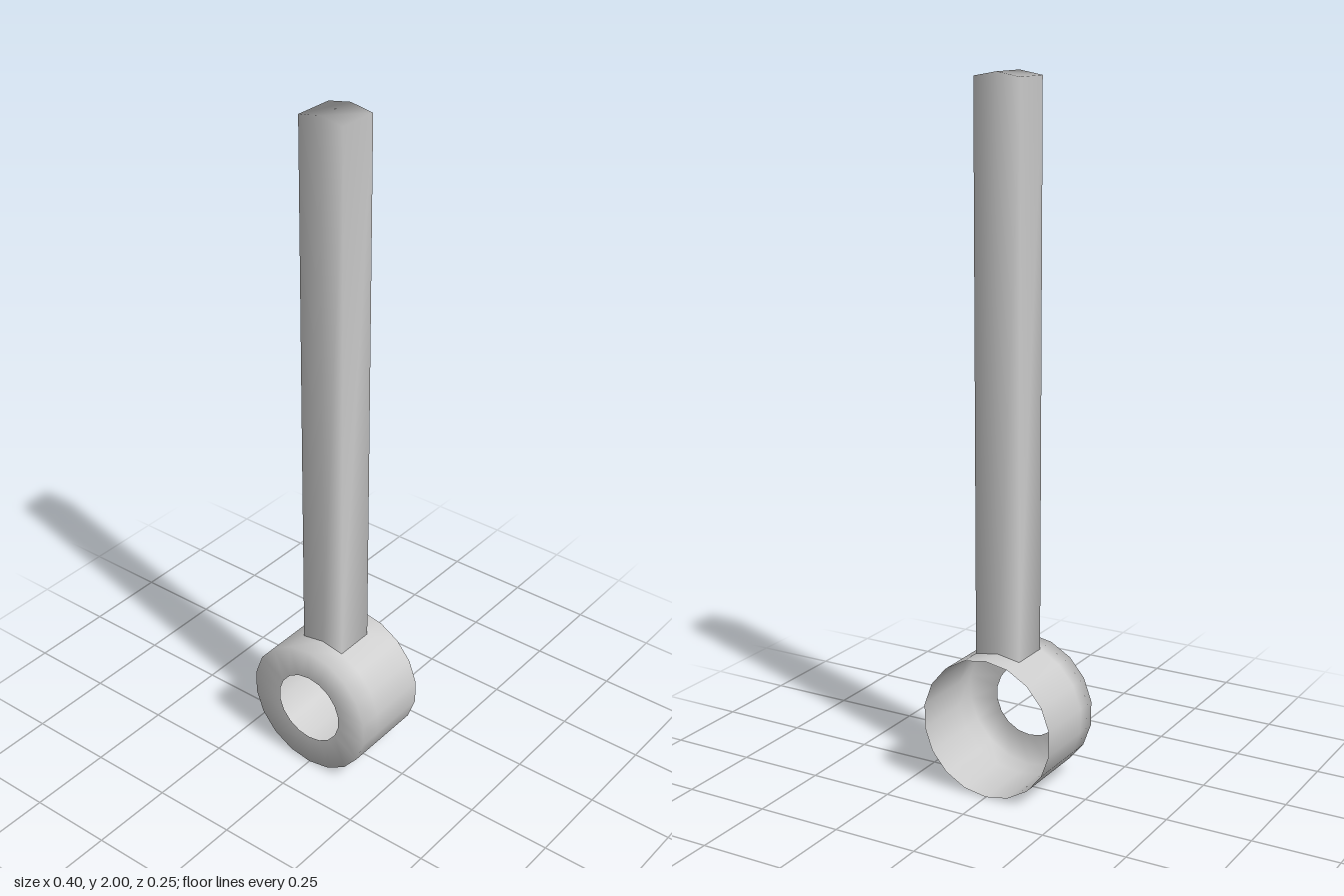
import * as THREE from 'three';
import { mergeVertices } from 'three/addons/utils/BufferGeometryUtils.js';

const SIDES = 18, R = 0.2035, HOLE = 0.11, DEPTH = 0.1265, BAR = 0.06;
const LIFT = 2 - 2 * R; // length of the bar

// Point on the ring, step 0 at the top, counting towards +x
const point = (step, radius, z, lift = 0) => {
  const a = (step / SIDES) * Math.PI * 2;
  return [radius * Math.sin(a), R + radius * Math.cos(a) + lift, z];
};

// Quads between two matching rows of points
function strip(out, a, b, keep = () => true) {
  for (let i = 0; i < a.length - 1; i++) {
    if (keep(i)) out.push(...a[i], ...a[i + 1], ...b[i + 1], ...a[i], ...b[i + 1], ...b[i]);
  }
}

// Welded, smooth-shaded mesh from loose triangles
function smoothMesh(name, positions, material) {
  const loose = new THREE.BufferGeometry();
  loose.setAttribute('position', new THREE.Float32BufferAttribute(positions, 3));
  const geometry = mergeVertices(loose, 1e-5);
  geometry.computeVertexNormals();
  const mesh = new THREE.Mesh(geometry, material);
  mesh.name = name;
  return mesh;
}

export function createModel() {
  const group = new THREE.Group();
  group.name = 'ringWithBar';
  const material = new THREE.MeshStandardMaterial({ color: 0xcccccc, side: THREE.DoubleSide });

  // Ring: front face with a round hole, thin wall, open back
  const circle = (radius, z) =>
    Array.from({ length: SIDES + 1 }, (_, i) => point(i % SIDES, radius, z));
  const rows = [circle(HOLE, DEPTH), circle(R, DEPTH), circle(R, BAR), circle(R, -BAR), circle(R, -DEPTH)];
  const ring = [];
  for (let r = 0; r < rows.length - 1; r++) {
    // The wall is left open under the hollow bar
    strip(ring, rows[r], rows[r + 1], (i) => r !== 2 || (i !== 0 && i !== SIDES - 1));
  }
  group.add(smoothMesh('ring', ring, material));

  // Bar: two wall panels of the ring drawn straight up, with a matching peaked cap
  const arc = (z, lift) => [-1, 0, 1].map((s) => point(s, R, z, lift));
  const outline = (lift) => {
    const front = arc(BAR, lift);
    return [...front, ...arc(-BAR, lift).reverse(), front[0]];
  };
  const bar = [];
  strip(bar, outline(0), outline(LIFT));
  strip(bar, arc(BAR, LIFT), arc(-BAR, LIFT));
  group.add(smoothMesh('bar', bar, material));

  return group;
}
